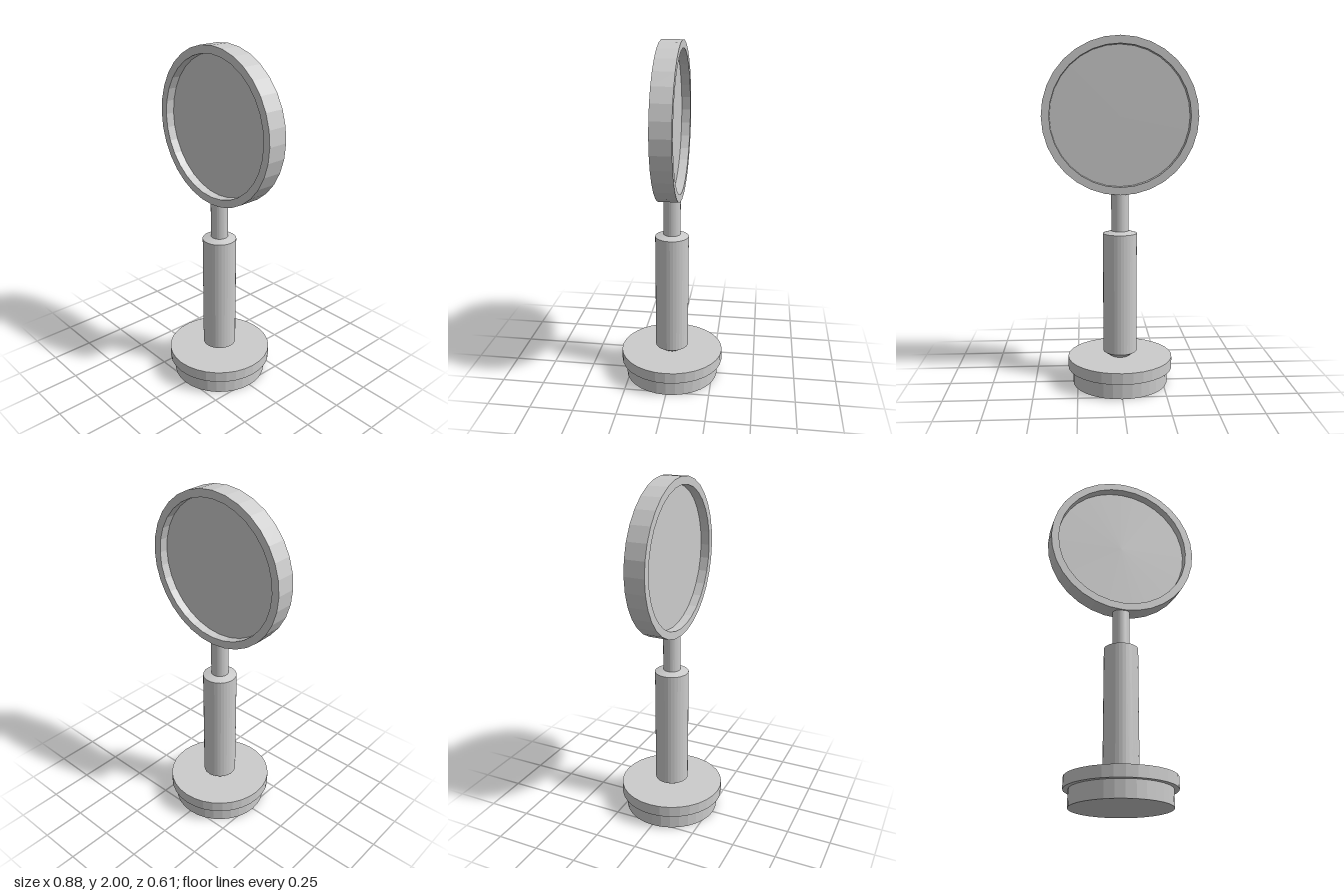
import * as THREE from 'three';

const SIDES = 32;
const material = new THREE.MeshStandardMaterial({ color: 0xcccccc, flatShading: true });

// Faceted solid of revolution from [radius, height] pairs, bottom to top
function turned(name, profile) {
  const points = profile.map(([r, y]) => new THREE.Vector2(r, y));
  const mesh = new THREE.Mesh(new THREE.LatheGeometry(points, SIDES), material);
  mesh.name = name;
  return mesh;
}

export function createModel() {
  const model = new THREE.Group();
  model.name = 'tableMirror';

  // Stepped round base
  model.add(turned('baseFoot', [[0, 0], [0.277, 0], [0.277, 0.095], [0, 0.095]]));
  model.add(turned('basePlate', [[0, 0.095], [0.305, 0.095], [0.305, 0.16], [0, 0.16]]));

  // Grip with tapered ends, and the slim rod above it
  model.add(turned('handle', [[0, 0.158], [0.05, 0.158], [0.098, 0.19], [0.098, 0.892], [0.05, 0.906], [0, 0.906]]));
  model.add(turned('rod', [[0.05, 0.9], [0.05, 1.14], [0, 1.14]]));

  // Upright head: open rim with a thin two-sided mirror set in its middle
  const head = new THREE.Group();
  head.name = 'mirrorHead';
  const outer = 0.441, inner = 0.397, half = 0.058;
  head.add(turned('rim', [[inner, -half], [outer, -half], [outer, half], [inner, half], [inner, -half]]));
  head.add(turned('mirrorGlass', [[0, -0.006], [inner, -0.006], [inner, 0.006], [0, 0.006]]));
  head.rotation.x = Math.PI / 2;
  head.position.y = 2 - outer;
  model.add(head);

  return model;
}
